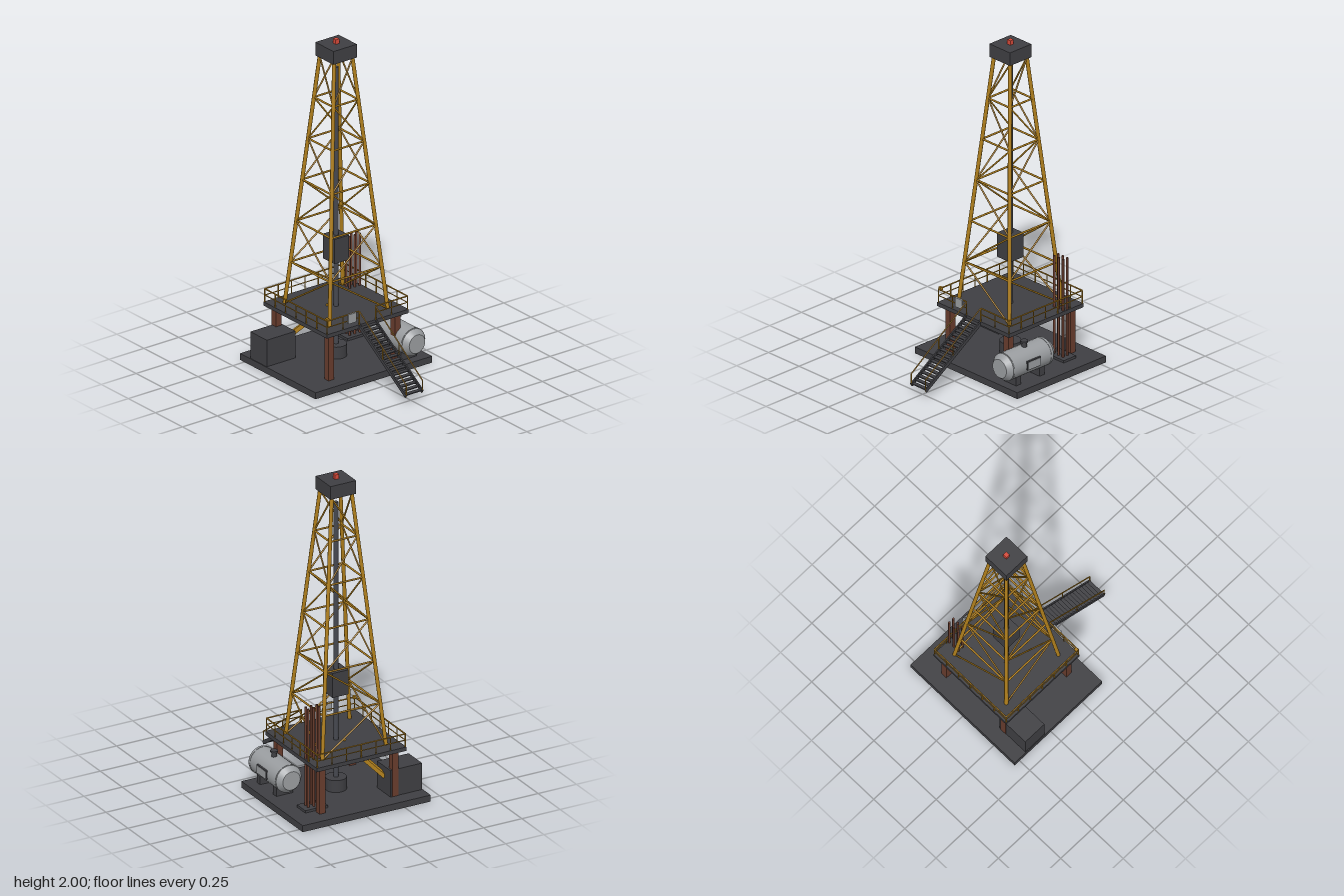
import * as THREE from 'three';

const mat = (name, color) => Object.assign(new THREE.MeshStandardMaterial({ color }), { name });

export function createModel() {
  const dark = mat('dark steel', 0x3f3f43);
  const pipeGrey = mat('pipe steel', 0x45474e);
  const yellow = mat('yellow paint', 0xb07f1c);
  const rust = mat('rust brown', 0x683c2d);
  const tankGrey = mat('tank grey', 0x9a9da0);
  const red = mat('beacon red', 0xd64a3a);

  const model = new THREE.Group();
  model.name = 'drillingRig';
  const V = (x, y, z) => new THREE.Vector3(x, y, z);
  const UP = V(0, 1, 0);

  const add = (name, geo, material, x, y, z, parent = model) => {
    const m = new THREE.Mesh(geo, material);
    m.name = name;
    m.position.set(x, y, z);
    parent.add(m);
    return m;
  };
  const group = (name, x = 0, y = 0, z = 0) => {
    const g = new THREE.Group();
    g.name = name;
    g.position.set(x, y, z);
    model.add(g);
    return g;
  };
  const box = (name, material, w, h, d, x, y, z, parent) =>
    add(name, new THREE.BoxGeometry(w, h, d), material, x, y, z, parent);
  const cyl = (name, material, r, h, x, y, z, parent, n = 16) =>
    add(name, new THREE.CylinderGeometry(r, r, h, n), material, x, y, z, parent);
  // Rectangular bar from a to b, its z axis running along the bar
  const bar = (name, material, a, b, w, h, parent) => {
    const mid = a.clone().add(b).multiplyScalar(0.5);
    const m = box(name, material, w, h, a.distanceTo(b), mid.x, mid.y, mid.z, parent);
    m.quaternion.setFromRotationMatrix(new THREE.Matrix4().lookAt(b, a, UP));
  };
  // Yellow round tube from a to b
  const rod = (name, a, b, r, parent) => {
    const mid = a.clone().add(b).multiplyScalar(0.5);
    const m = cyl(name, yellow, r, a.distanceTo(b), mid.x, mid.y, mid.z, parent, 8);
    m.quaternion.setFromUnitVectors(UP, b.clone().sub(a).normalize());
  };

  const CZ = -0.19; // centre line of the tower
  const DECK = 0.346;

  // Ground slab and raised deck on columns
  box('base', dark, 0.836, 0.04, 0.698, 0, 0.02, -0.191);
  box('deck', dark, 0.586, 0.024, 0.586, 0, DECK - 0.012, CZ);
  for (const x of [-0.238, 0.238])
    for (const z of [-0.243, 0.243]) box('deckColumn', rust, 0.04, 0.29, 0.04, x, 0.181, CZ + z);

  // Derrick: four tapering legs, six braced bays
  const derrick = group('derrick', 0, 0, CZ);
  const BAYS = 6, TOP = 1.888;
  const corner = (sx, sz, i) => {
    const t = i / BAYS, h = 0.208 + (0.066 - 0.208) * t;
    return V(sx * h, DECK + (TOP - DECK) * t, sz * h);
  };
  for (const sx of [-1, 1])
    for (const sz of [-1, 1]) rod('derrickLeg', corner(sx, sz, 0), corner(sx, sz, BAYS), 0.0115, derrick);
  for (let i = 0; i < BAYS; i++) {
    const s = i % 2 ? -1 : 1; // diagonals zigzag up the tower
    for (const f of [-1, 1]) {
      rod('crossBar', corner(-1, f, i + 1), corner(1, f, i + 1), 0.0058, derrick);
      rod('crossBar', corner(f, -1, i + 1), corner(f, 1, i + 1), 0.0058, derrick);
      rod('diagonal', corner(s, f, i), corner(-s, f, i + 1), 0.005, derrick);
      rod('diagonal', corner(f, -s, i), corner(f, s, i + 1), 0.005, derrick);
    }
  }

  // Crown, beacon, drill string, travelling block and wellhead
  box('crownBlock', dark, 0.168, 0.082, 0.168, 0, 1.931, CZ);
  box('beacon', red, 0.026, 0.03, 0.026, 0, 1.985, CZ);
  cyl('drillString', pipeGrey, 0.014, 1.81, 0, 0.921, CZ);
  box('travellingBlock', dark, 0.106, 0.152, 0.106, 0, 0.711, CZ);
  cyl('wellhead', dark, 0.062, 0.075, 0, 0.0765, CZ, model, 20);

  // Engine house and the slanting drive beam
  box('engineHouse', dark, 0.207, 0.165, 0.152, -0.31, 0.1225, -0.374);
  bar('driveBeam', yellow, V(-0.03, 0.342, -0.22), V(-0.215, 0.14, -0.375), 0.025, 0.025);

  // Rack of drill pipes
  box('pipeRackPlate', dark, 0.15, 0.015, 0.097, 0.245, 0.0475, -0.35);
  for (const x of [0.209, 0.245, 0.281])
    for (const z of [-0.366, -0.334]) cyl('drillPipe', rust, 0.0075, 0.615, x, 0.36, z, model, 8);

  // Deck railing with a gap for the stairs
  const railing = group('railing', 0, 0, CZ);
  const R = 0.288, GAP = 0.06, RT = 0.427, RM = 0.388;
  const runs = [
    [-R, -R, R, -R], [-R, -R, -R, R], [R, -R, R, R],
    [-R, R, -GAP, R], [GAP, R, R, R],
  ];
  for (const [x0, z0, x1, z1] of runs) {
    rod('topRail', V(x0, RT, z0), V(x1, RT, z1), 0.0042, railing);
    rod('midRail', V(x0, RM, z0), V(x1, RM, z1), 0.003, railing);
    const n = Math.max(2, Math.round(Math.hypot(x1 - x0, z1 - z0) / 0.097));
    for (let i = 0; i <= n; i++) {
      const x = x0 + (x1 - x0) * i / n, z = z0 + (z1 - z0) * i / n;
      rod('railPost', V(x, DECK, z), V(x, RT, z), 0.0035, railing);
    }
  }
  box('cornerLamp', yellow, 0.018, 0.018, 0.018, -0.281, 0.432, 0.088);
  box('noticePlate', tankGrey, 0.058, 0.058, 0.009, -0.114, 0.402, 0.105);

  // Stairs with handrails
  const stairs = group('stairs');
  const Z0 = 0.1, Z1 = 0.533, Y0 = 0.335, Y1 = 0.05, STEPS = 18;
  for (const x of [-0.058, 0.058]) {
    bar('stringer', dark, V(x, Y0, Z0), V(x, Y1, Z1), 0.009, 0.022, stairs);
    rod('handrail', V(x, RT, Z0), V(x, 0.118, Z1 + 0.002), 0.0038, stairs);
    for (const t of [0, 0.5, 1]) {
      const y = Y0 + (Y1 - Y0) * t, z = Z0 + (Z1 - Z0) * t;
      rod('handrailPost', V(x, y, z), V(x, RT + (0.118 - RT) * t, z), 0.0035, stairs);
    }
  }
  for (let i = 0; i < STEPS; i++) {
    const t = (i + 0.5) / STEPS;
    box('tread', dark, 0.112, 0.006, 0.026, 0, Y0 + (Y1 - Y0) * t, Z0 + (Z1 - Z0) * t, stairs);
  }

  // Storage tank lying along z on two saddles, with coned ends
  const tank = group('tank', 0.295, 0.155, -0.01);
  cyl('tankShell', tankGrey, 0.083, 0.314, 0, 0, 0, tank, 24).rotation.x = Math.PI / 2;
  for (const s of [-1, 1]) {
    const cone = new THREE.CylinderGeometry(0.057, 0.083, 0.032, 24);
    add('tankEnd', cone, tankGrey, 0, 0, s * 0.173, tank).rotation.x = s * Math.PI / 2;
    cyl('tankBand', tankGrey, 0.085, 0.012, 0, 0, s * 0.145, tank, 24).rotation.x = Math.PI / 2;
    box('tankSaddle', dark, 0.11, 0.065, 0.038, 0, -0.0825, s * 0.092, tank);
  }
  cyl('fillNeck', dark, 0.016, 0.05, 0.005, 0.092, 0, tank);
  cyl('fillCap', dark, 0.023, 0.01, 0.005, 0.113, 0, tank);
  box('hatchFrame', dark, 0.026, 0.054, 0.106, 0.076, 0.001, 0, tank);
  box('hatchPlate', tankGrey, 0.003, 0.046, 0.098, 0.0895, 0.001, 0, tank);

  return model;
}
